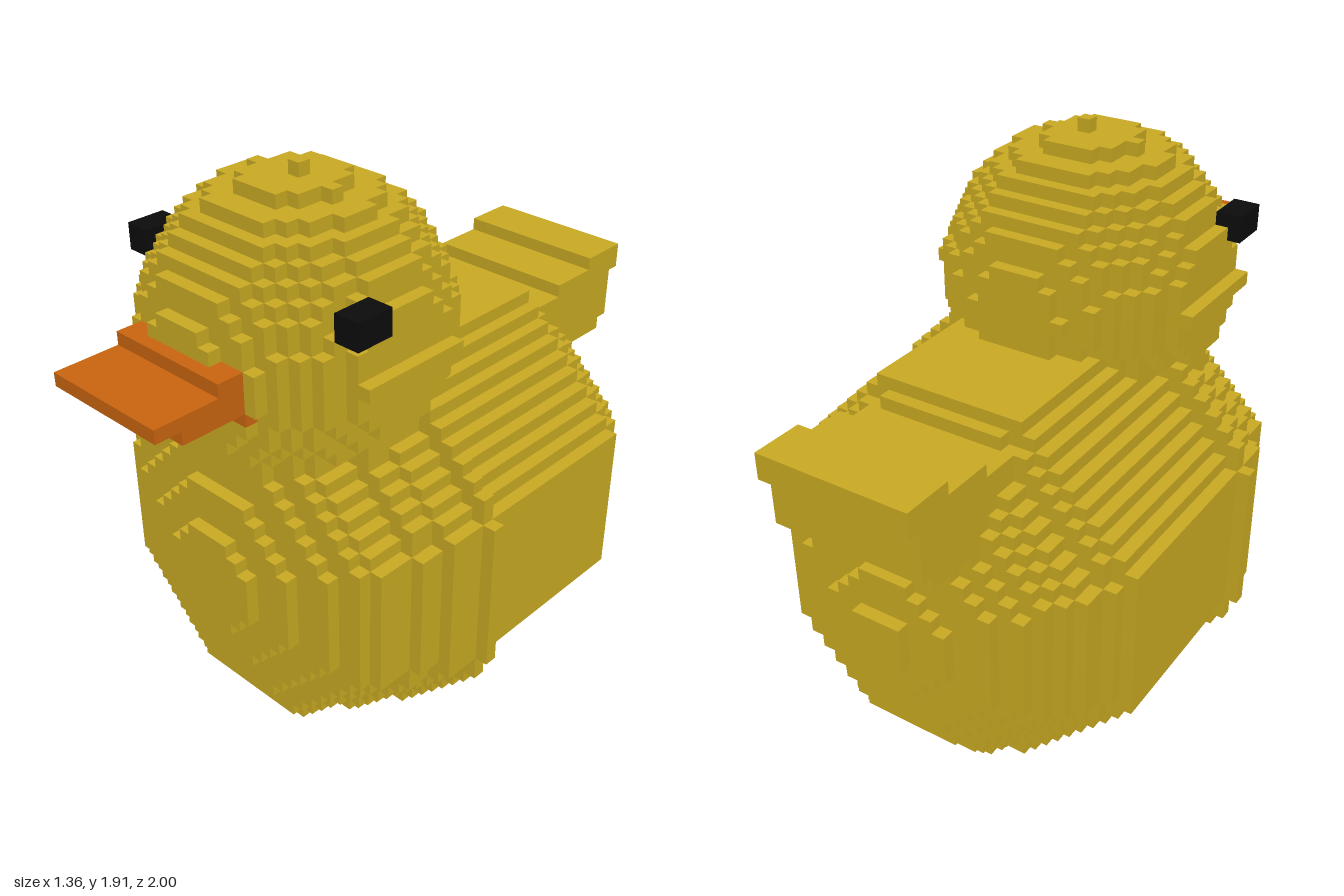
import * as THREE from 'three';

// Voxel grid: 32 wide (x), 45 high (y), 47 long (z)
const NX = 32, NY = 45, NZ = 47, S = 2 / NZ;

// Body radius in voxels for each layer along z, tail end first
const bodyRadius = [0, 0, 0, 2.5, 5, 8, 10, 11, 12, 13, 13, 14];
for (let k = 12; k <= 30; k++) bodyRadius.push(k === 27 ? 16 : 15);
bodyRadius.push(14, 14, 13, 13, 13, 12, 10, 7, 4);

// Lowest and highest voxel of the tail for each layer along z
const tailSpan = [[29, 30], [25, 30], [24, 30], [24, 30]];
for (let k = 4; k <= 11; k++) tailSpan.push([24, k < 8 ? 29 : 28]);

// Last z layer of each beak row, from its lowest row up
const beakRows = { 31: 39, 32: 44, 33: 46, 34: 41 };

// Each test takes distance from the middle plane (x), height and z layer
const parts = {
  eyes: (x, j, k) => x > 9 && x < 11 && (j === 37 || j === 38) && k >= 33 && k <= 35,
  beak: (x, j, k) => x < 5 && k >= 39 && k <= (beakRows[j] ?? -1),
  head: (x, j, k) => {
    const dy = j - 33, dz = k - 30;
    const cheek = x > 10 && x < 11 && dy === 0 && Math.abs(dz) <= 4;
    return cheek || (x < 10 && j < 44 && j > 24 && x * x + dy * dy + dz * dz < 10.6 ** 2);
  },
  tail: (x, j, k) => x < 6 && k < tailSpan.length && j >= tailSpan[k][0] && j <= tailSpan[k][1],
  body: (x, j, k) => {
    // Rounded octagon cross-section
    const r = bodyRadius[k] ?? 0, y = Math.abs(j - 15.5);
    const hi = Math.max(x, y), lo = Math.min(x, y);
    return hi < r && hi + lo <= 1.38 * r && hi + 0.2 * lo <= 1.04 * r;
  },
};
const names = Object.keys(parts);

function partAt(i, j, k) {
  if (i < 0 || j < 0 || k < 0 || i >= NX || j >= NY || k >= NZ) return null;
  if (i === 16 && j === 44 && k === 30) return 'head'; // crown tip
  return names.find((n) => parts[n](Math.abs(i - 15.5), j, k)) ?? null;
}

// Sort every voxel into its part and keep only the exposed faces
function buildFaces() {
  const grid = new Map();
  const key = (i, j, k) => (i + 1) + 40 * ((j + 1) + 60 * (k + 1));
  for (let i = 0; i < NX; i++) for (let j = 0; j < NY; j++) for (let k = 0; k < NZ; k++) {
    const p = partAt(i, j, k);
    if (p) grid.set(key(i, j, k), { p, c: [i, j, k] });
  }
  const out = Object.fromEntries(names.map((n) => [n, { pos: [], nor: [] }]));
  for (const { p, c } of grid.values()) {
    for (let a = 0; a < 3; a++) for (const s of [1, -1]) {
      const n = [0, 0, 0];
      n[a] = s;
      if (grid.has(key(c[0] + n[0], c[1] + n[1], c[2] + n[2]))) continue;
      const u = (a + 1) % 3, v = (a + 2) % 3;
      const corner = (cu, cv) => {
        const q = [...c];
        q[a] += s > 0 ? 1 : 0;
        q[u] += cu;
        q[v] += cv;
        return [(q[0] - NX / 2) * S, q[1] * S, q[2] * S - 1];
      };
      const quad = [corner(0, 0), corner(1, 0), corner(1, 1), corner(0, 1)];
      if (s < 0) quad.reverse();
      for (const t of [0, 1, 2, 0, 2, 3]) {
        out[p].pos.push(...quad[t]);
        out[p].nor.push(...n);
      }
    }
  }
  return out;
}

export function createModel() {
  const material = (name, color) => {
    const m = new THREE.MeshStandardMaterial({ color });
    m.name = name;
    return m;
  };
  const yellow = material('yellow', 0xc9a922);
  const orange = material('orange', 0xc9650f);
  const black = material('black', 0x0c0c0c);
  const colours = { body: yellow, head: yellow, tail: yellow, beak: orange, eyes: black };

  const group = new THREE.Group();
  group.name = 'blockDuck';
  for (const [name, { pos, nor }] of Object.entries(buildFaces())) {
    const geometry = new THREE.BufferGeometry();
    geometry.setAttribute('position', new THREE.Float32BufferAttribute(pos, 3));
    geometry.setAttribute('normal', new THREE.Float32BufferAttribute(nor, 3));
    const mesh = new THREE.Mesh(geometry, colours[name]);
    mesh.name = name;
    group.add(mesh);
  }
  return group;
}
